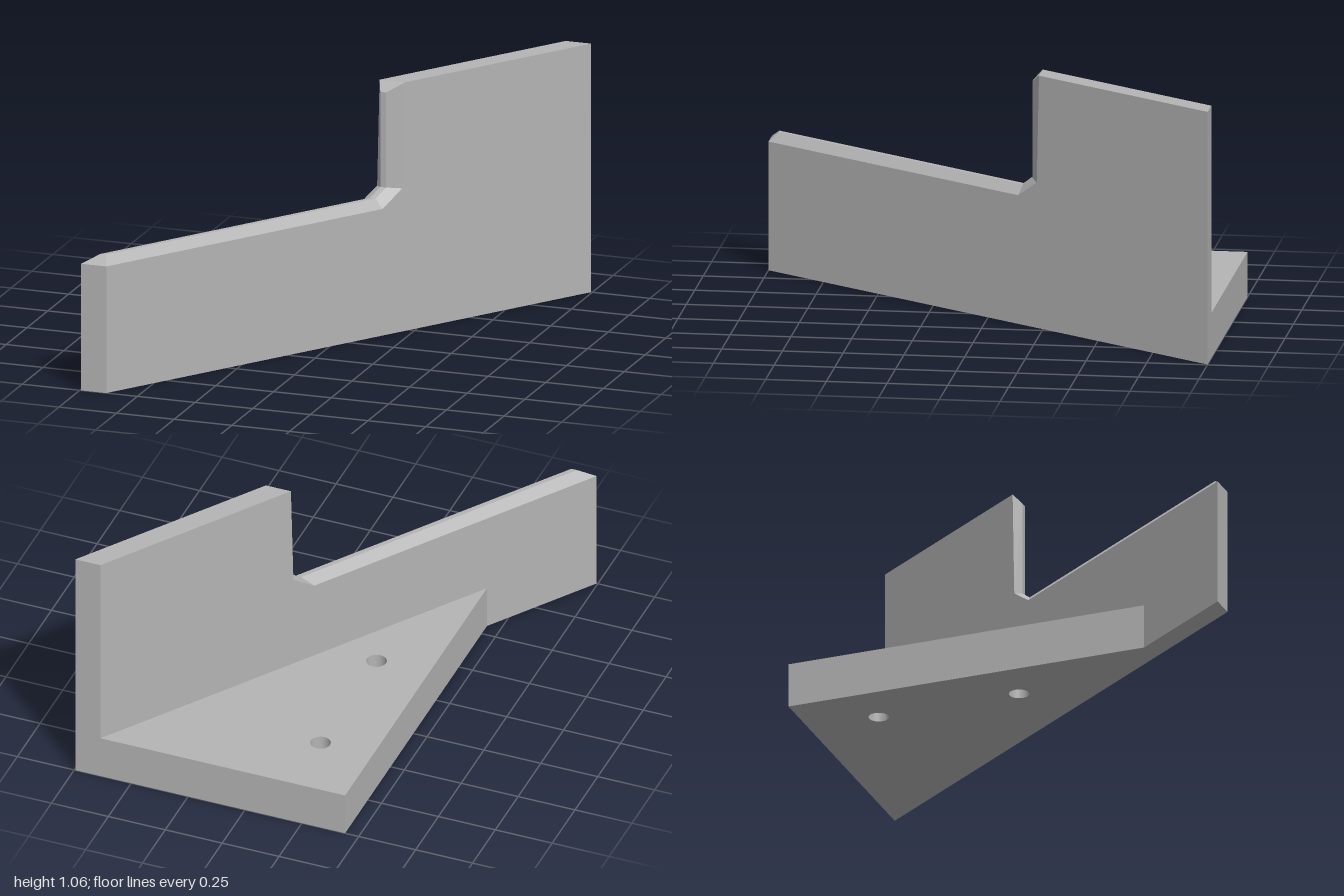
import * as THREE from 'three';

const WIDTH = 0.11;          // fence width measured along x
const SLOPE = 1.38 / 2;      // fence runs diagonally: x shift per unit of z
const place = (t, z, y) => [-0.745 + SLOPE * (1 - z) + t, y, z];

// Stations around the fence outline: face corner [z, y], bevelled ridge corner [z, y]
const STATIONS = [
  [[1, 0], [1, 0]],
  [[1, 0.54], [1, 0.54]],
  [[1, 0.54], [0.96, 0.578]],
  [[-0.138, 0.54], [-0.152, 0.578]],
  [[-0.222, 0.61], [-0.195, 0.615]],
  [[-0.232, 1.06], [-0.195, 1.02]],
  [[-0.232, 1.06], [-0.232, 1.06]],
  [[-1, 1.06], [-1, 1.06]],
  [[-1, 0], [-1, 0]],
];

function fenceGeometry() {
  const pos = [];
  const tri = (...pts) => pts.forEach((p) => pos.push(...p));

  // Edge band: face, ridge, ridge, face at every station
  const rings = STATIONS.map(([f, r]) => [
    place(0, ...f), place(0.0425, ...r), place(0.0675, ...r), place(WIDTH, ...f),
  ]);
  rings.forEach((a, i) => {
    const b = rings[(i + 1) % rings.length];
    for (let k = 0; k < 3; k++) {
      tri(a[k], a[k + 1], b[k + 1]);
      tri(a[k], b[k + 1], b[k]);
    }
  });

  // The two large flat faces
  const outline = [0, 1, 3, 4, 5, 7, 8].map((i) => STATIONS[i][0]);
  const faces = THREE.ShapeUtils.triangulateShape(
    outline.map(([z, y]) => new THREE.Vector2(z, y)), []);
  for (const [a, b, c] of faces) {
    tri(...[a, b, c].map((i) => place(0, ...outline[i])));
    tri(...[c, b, a].map((i) => place(WIDTH, ...outline[i])));
  }

  const geo = new THREE.BufferGeometry();
  geo.setAttribute('position', new THREE.Float32BufferAttribute(pos, 3));
  geo.computeVertexNormals();
  return geo;
}

function baseGeometry() {
  // Triangular foot, drawn in plan (shape y = -z) and raised
  const shape = new THREE.Shape([
    new THREE.Vector2(-0.44, -0.558),
    new THREE.Vector2(0.635, 1),
    new THREE.Vector2(-0.44, 1),
  ]);
  // Screw holes
  for (const z of [-0.695, -0.08]) {
    shape.holes.push(new THREE.Path().absarc(-0.21, -z, 0.042, 0, Math.PI * 2, true));
  }
  const geo = new THREE.ExtrudeGeometry(shape, { depth: 0.19, bevelEnabled: false, curveSegments: 32 });
  return geo.rotateX(-Math.PI / 2);
}

export function createModel() {
  const grey = new THREE.MeshStandardMaterial({ color: 0xb4b4b4 });
  grey.name = 'plain grey';

  const model = new THREE.Group();
  model.name = 'angledFenceBracket';

  const fence = new THREE.Mesh(fenceGeometry(), grey);
  fence.name = 'steppedFence';
  const base = new THREE.Mesh(baseGeometry(), grey);
  base.name = 'triangularBase';

  model.add(fence, base);
  return model;
}
